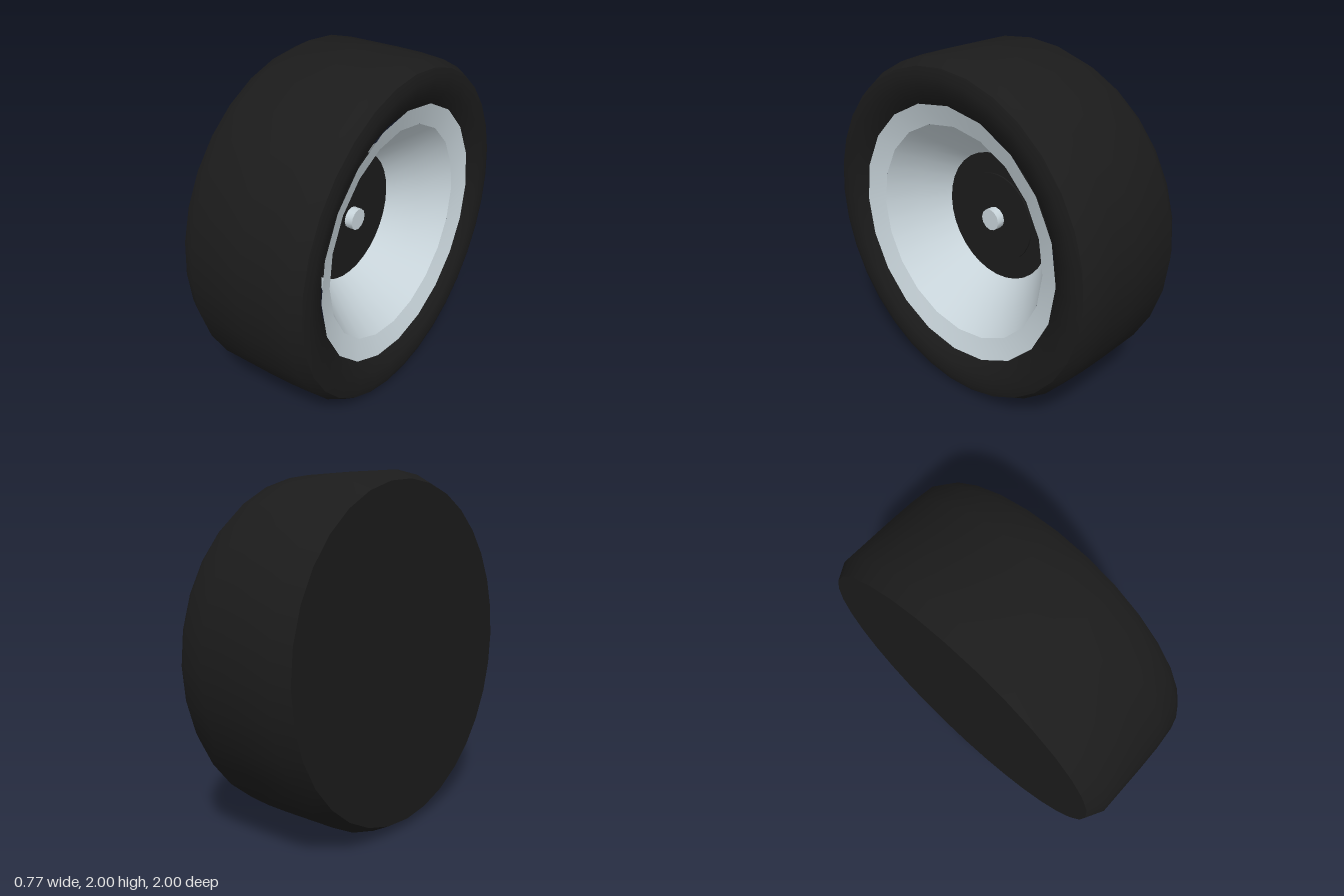
import * as THREE from 'three';
import { toCreasedNormals } from 'three/addons/utils/BufferGeometryUtils.js';

export function createModel() {
  const model = new THREE.Group();
  model.name = 'wheel';

  const rubber = new THREE.MeshStandardMaterial({ color: 0x1b1b1b });
  const metal = new THREE.MeshStandardMaterial({ color: 0xc8d4da });

  // Turns a [radius, x] profile around the horizontal axle
  function turned(name, profile, segments, material, crease = 0.6) {
    const points = profile.map(([r, x]) => new THREE.Vector2(r, x));
    const geometry = new THREE.LatheGeometry(points, segments);
    geometry.rotateZ(-Math.PI / 2);
    geometry.translate(0, 1, 0);
    const mesh = new THREE.Mesh(toCreasedNormals(geometry, crease), material);
    mesh.name = name;
    model.add(mesh);
  }

  // Tyre with a closed, chamfered back and a rounded outer shoulder
  turned('tire', [
    [0, -0.39], [0.95, -0.39], [1, -0.295], [1, 0.02], [0.997, 0.17],
    [0.985, 0.31], [0.95, 0.37], [0.9, 0.385], [0.82, 0.37], [0.75, 0.325], [0.7, 0.28],
  ], 32, rubber);

  // Sloped lip around the outer edge of the rim
  turned('rimLip', [[0.75, 0.33], [0.63, 0.29]], 20, metal);

  // Deep conical dish leading down to the hub
  turned('rimDish', [[0.632, 0.29], [0.51, 0.125], [0.39, -0.035]], 32, metal);

  // Dark hub plate with a slightly raised centre disc
  turned('hubPlate', [[0.4, -0.035], [0, -0.035]], 32, rubber);
  turned('hubDisc', [[0.27, -0.035], [0.27, -0.025], [0, -0.025]], 32, rubber);

  // Axle stub
  turned('axlePin', [[0.065, -0.04], [0.065, 0.025], [0, 0.025]], 12, metal);

  return model;
}
